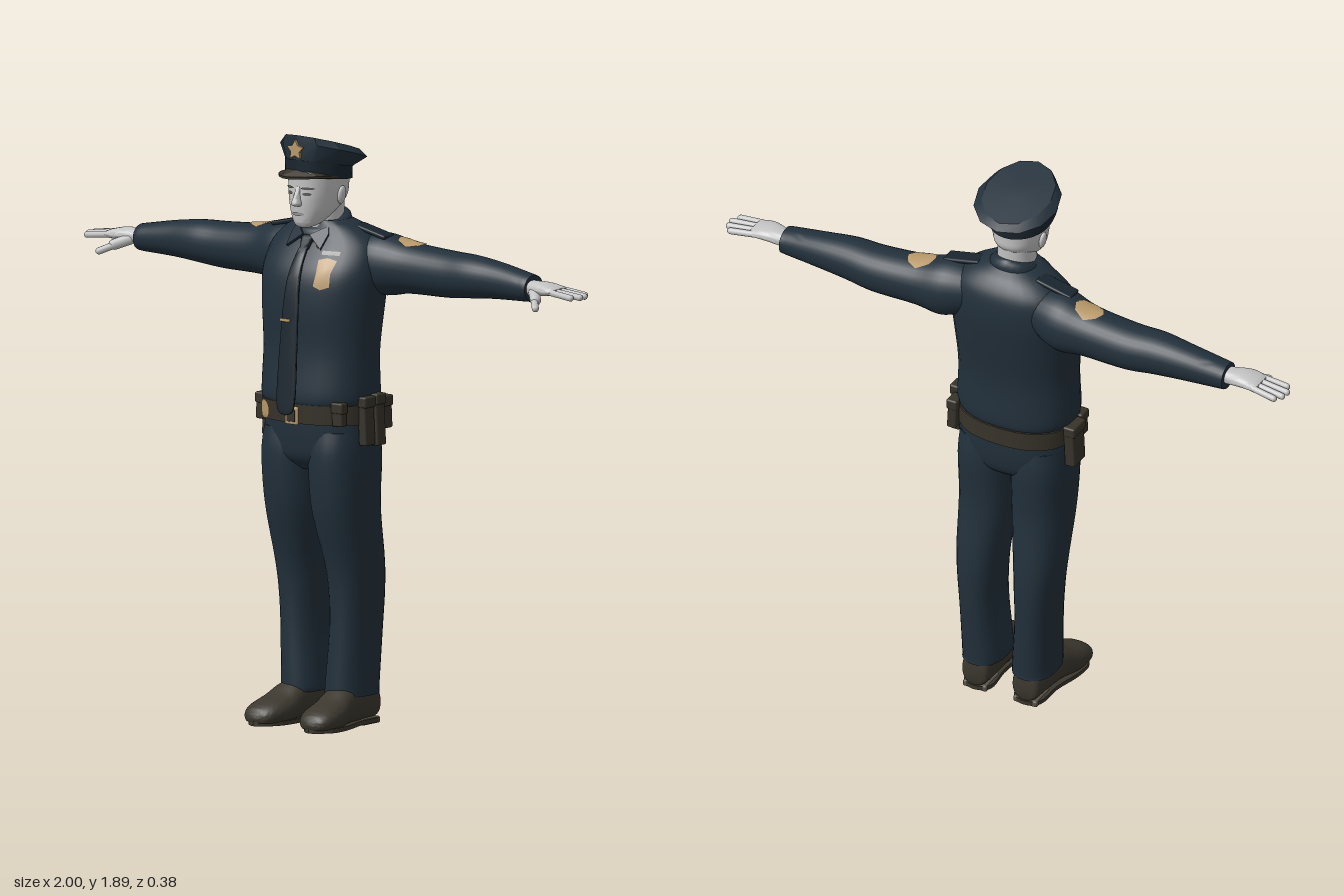
import * as THREE from 'three';
import { toCreasedNormals } from 'three/addons/utils/BufferGeometryUtils.js';
import { RoundedBoxGeometry } from 'three/addons/geometries/RoundedBoxGeometry.js';

const mat = (name, color) => Object.assign(new THREE.MeshStandardMaterial({ color }), { name });

// Catmull-Rom blend of whole key rows
function blend(keys, i, f) {
  const at = (k) => keys[Math.min(Math.max(k, 0), keys.length - 1)];
  const [p, a, b, n] = [at(i - 1), at(i), at(i + 1), at(i + 2)];
  return a.map((v, c) => {
    const k1 = b[c] - p[c], k2 = 2 * p[c] - 5 * v + 4 * b[c] - n[c], k3 = 3 * v - p[c] - 3 * b[c] + n[c];
    return v + 0.5 * f * (k1 + f * (k2 + f * k3));
  });
}

// Closed skin over cross-sections: [position, centreA, centreB, radiusA, radiusB, tilt]
// axis y: A = x, B = z; axis x: A = z, B = y; axis z: A = y, B = x
function loft(keys, { axis = 'y', seg = 28, steps = 5, power = 2.3, crease = 1 } = {}) {
  const rows = [];
  for (let i = 0; i < keys.length - 1; i++)
    for (let s = 0; s < steps; s++) rows.push(blend(keys, i, s / steps));
  rows.push(keys[keys.length - 1]);
  const pos = [], idx = [];
  const put = (t, a, b) => pos.push(...(axis === 'y' ? [a, t, b] : axis === 'x' ? [t, b, a] : [b, a, t]));
  const bend = (v) => Math.sign(v) * Math.pow(Math.abs(v), 2 / power);
  for (const [t, a, b, ra, rb, tilt = 0] of rows)
    for (let j = 0; j < seg; j++) {
      const q = (j / seg) * Math.PI * 2, u = ra * bend(Math.cos(q)), v = rb * bend(Math.sin(q));
      put(t + tilt * v, a + u, b + v);
    }
  for (let i = 0; i < rows.length - 1; i++)
    for (let j = 0; j < seg; j++) {
      const k = (j + 1) % seg, p = i * seg + j, q = i * seg + k;
      idx.push(p, p + seg, q, q, p + seg, q + seg);
    }
  const end = rows.length * seg, top = end - seg;
  for (const [t, a, b] of [rows[0], rows[rows.length - 1]]) put(t, a, b);
  for (let j = 0; j < seg; j++) {
    const k = (j + 1) % seg;
    idx.push(end, j, k, end + 1, top + k, top + j);
  }
  const g = new THREE.BufferGeometry();
  g.setAttribute('position', new THREE.Float32BufferAttribute(pos, 3));
  g.setIndex(idx);
  return toCreasedNormals(g, crease);
}

// Thin plate draped on a mesh, seen along z (or from above: outline in x and -z)
function drape(target, outline, fromTop = false, lift = 0.004) {
  const ray = new THREE.Raycaster(), n = outline.length, rings = 4, pos = [], idx = [];
  const c = outline.reduce((s, p) => [s[0] + p[0] / n, s[1] + p[1] / n], [0, 0]);
  const dir = fromTop ? new THREE.Vector3(0, -1, 0) : new THREE.Vector3(0, 0, -1);
  let depth = 0;
  const put = (u, v) => {
    const x = u + 1e-5; // keeps rays off mesh seams
    ray.set(fromTop ? new THREE.Vector3(x, 5, -v) : new THREE.Vector3(x, v, 5), dir);
    const hit = ray.intersectObject(target)[0];
    if (hit) depth = (fromTop ? hit.point.y : hit.point.z) + lift;
    pos.push(...(fromTop ? [u, depth, -v] : [u, v, depth]));
  };
  put(c[0], c[1]);
  for (let r = 1; r <= rings; r++)
    for (const p of outline) put(c[0] + (p[0] - c[0]) * r / rings, c[1] + (p[1] - c[1]) * r / rings);
  for (let j = 0; j < n; j++) {
    const k = (j + 1) % n;
    idx.push(0, 1 + j, 1 + k);
    for (let r = 0; r < rings - 1; r++) {
      const p = 1 + r * n + j, q = 1 + r * n + k;
      idx.push(p, p + n, q, q, p + n, q + n);
    }
  }
  const g = new THREE.BufferGeometry();
  g.setAttribute('position', new THREE.Float32BufferAttribute(pos, 3));
  g.setIndex(idx);
  g.computeVertexNormals();
  return g;
}

const oval = (x, y, rx, ry, n = 16) => Array.from({ length: n }, (_, i) =>
  [x + rx * Math.cos(i / n * Math.PI * 2), y + ry * Math.sin(i / n * Math.PI * 2)]);

// Copy flipped in x, with corner order swapped to keep faces outward
function mirrored(geo) {
  const g = geo.index ? geo.toNonIndexed() : geo.clone();
  g.scale(-1, 1, 1);
  for (const a of Object.values(g.attributes))
    for (let i = 0; i < a.count; i += 3)
      for (let c = 0; c < a.itemSize; c++) {
        const v = a.getComponent(i, c);
        a.setComponent(i, c, a.getComponent(i + 1, c));
        a.setComponent(i + 1, c, v);
      }
  return g;
}

export function createModel() {
  const root = new THREE.Group();
  root.name = 'uniformedOfficer';
  const navy = mat('navy cloth', 0x22303b), dark = mat('dark navy', 0x1a252e), skin = mat('pale skin', 0xc4c4c4);
  const gold = mat('gold', 0xb9996a), leather = mat('belt leather', 0x37332a), shoeMat = mat('shoe leather', 0x3b372e);
  const soleMat = mat('sole', 0x575247), eyeMat = mat('eye grey', 0x5a5a5a), lipMat = mat('lip grey', 0x9c9898);
  const add = (name, geo, m) => {
    const mesh = new THREE.Mesh(geo, m);
    mesh.name = name;
    root.add(mesh);
    return mesh;
  };
  const pair = (name, geo, m) => [add('left' + name, geo, m), add('right' + name, mirrored(geo), m)];
  const box = (w, h, d, x, y, z, rz = 0, r = 0.006) => new RoundedBoxGeometry(w, h, d, 2, r).rotateZ(rz).translate(x, y, z);

  // Shirt, sleeves and shoulder patches
  const shirt = add('shirt', loft([[1.03, 0, -0.01, 0.185, 0.138], [1.06, 0, -0.012, 0.2, 0.147], [1.2, 0, -0.015, 0.199, 0.137],
    [1.35, 0, -0.024, 0.209, 0.149], [1.45, 0, -0.037, 0.215, 0.147], [1.53, 0, -0.058, 0.2, 0.118],
    [1.58, 0, -0.055, 0.145, 0.092], [1.61, 0, -0.04, 0.08, 0.07]]), navy);
  const [leftSleeve, rightSleeve] = pair('Sleeve', loft([[0.1, -0.075, 1.49, 0.08, 0.07], [0.2, -0.09, 1.475, 0.094, 0.098],
    [0.3, -0.1, 1.47, 0.08, 0.081], [0.45, -0.105, 1.465, 0.075, 0.074], [0.55, -0.1, 1.468, 0.069, 0.068],
    [0.65, -0.1, 1.466, 0.058, 0.058], [0.77, -0.095, 1.458, 0.048, 0.045], [0.79, -0.095, 1.457, 0.046, 0.042]],
  { axis: 'x', power: 2.1 }), navy);
  pair('Epaulette', box(0.13, 0.014, 0.055, 0.165, 1.578, -0.07, -0.22), dark);
  const patch = [[0.25, 0.1], [0.262, 0.07], [0.3, 0.058], [0.335, 0.075], [0.35, 0.1], [0.335, 0.13], [0.3, 0.148], [0.262, 0.13]];
  add('leftShoulderPatch', drape(leftSleeve, patch, true), gold);
  add('rightShoulderPatch', drape(rightSleeve, patch.map(([x, z]) => [-x, z]).reverse(), true), gold);

  // Collar and its points
  add('collar', loft([[1.565, 0, -0.03, 0.09, 0.085, -0.4], [1.6, 0, -0.028, 0.08, 0.08, -0.42],
    [1.612, 0, -0.028, 0.066, 0.068, -0.42]], { steps: 2 }), navy);
  const flap = new THREE.Shape([[0.012, 0], [0.07, 0.035], [0.075, 0.005], [0.06, -0.05]].map(([x, y]) => new THREE.Vector2(x, y)));
  pair('CollarPoint', new THREE.ExtrudeGeometry(flap, { depth: 0.008, bevelEnabled: false })
    .rotateX(-0.65).rotateY(0.3).translate(0, 1.563, 0.062), navy);

  // Tie and clip
  add('tie', loft([[1.005, 0, 0.168, 0.004, 0.004], [1.04, 0, 0.166, 0.036, 0.005], [1.25, 0, 0.149, 0.034, 0.005],
    [1.4, 0, 0.133, 0.027, 0.006], [1.48, 0, 0.106, 0.02, 0.007], [1.54, 0, 0.064, 0.014, 0.008]], { power: 4, seg: 16 }), dark);
  add('tieKnot', loft([[1.52, 0, 0.073, 0.014, 0.014], [1.555, 0, 0.055, 0.022, 0.015], [1.565, 0, 0.05, 0.016, 0.01]], { seg: 14 }), dark);
  add('tieClip', box(0.04, 0.01, 0.008, -0.016, 1.303, 0.151, 0, 0.003), gold);

  // Chest badge, name plate and collar pin
  add('chestBadge', drape(shirt, [[0.07, 1.415], [0.095, 1.405], [0.123, 1.415], [0.12, 1.455], [0.127, 1.495], [0.095, 1.502],
    [0.066, 1.495], [0.073, 1.455]]), gold);
  add('namePlate', drape(shirt, [[0.068, 1.51], [0.128, 1.51], [0.128, 1.522], [0.068, 1.522]]), lipMat);
  add('collarPin', new THREE.SphereGeometry(0.009, 10, 8).translate(0.05, 1.535, 0.06), gold);

  // Trousers
  add('trouserSeat', loft([[0.82, 0, -0.015, 0.13, 0.08], [0.86, 0, -0.016, 0.185, 0.122], [0.93, 0, -0.017, 0.193, 0.136],
    [1.01, 0, -0.015, 0.19, 0.138]]), navy);
  pair('TrouserLeg', loft([[0.1, 0.089, -0.057, 0.07, 0.098], [0.13, 0.089, -0.057, 0.07, 0.098], [0.3, 0.098, -0.064, 0.065, 0.1],
    [0.42, 0.101, -0.065, 0.07, 0.103], [0.52, 0.101, -0.055, 0.078, 0.107], [0.7, 0.094, -0.02, 0.093, 0.12],
    [0.86, 0.094, -0.015, 0.097, 0.131], [0.95, 0.09, -0.015, 0.095, 0.12]]), navy);

  // Shoes, soles and heels
  const shoe = loft([[-0.15, 0.06, 0.09, 0.035, 0.03], [-0.135, 0.07, 0.09, 0.055, 0.047], [-0.05, 0.075, 0.092, 0.065, 0.053],
    [0.02, 0.07, 0.097, 0.062, 0.06], [0.08, 0.05, 0.104, 0.05, 0.068], [0.14, 0.04, 0.109, 0.038, 0.065],
    [0.175, 0.033, 0.112, 0.025, 0.046], [0.188, 0.028, 0.112, 0.008, 0.015]], { axis: 'z' });
  const sp = shoe.attributes.position;
  for (let i = 0; i < sp.count; i++) sp.setY(i, Math.max(sp.getY(i), 0.016));
  pair('Shoe', shoe, shoeMat);
  const solePoints = [[0.09, -0.153], [0.135, -0.13], [0.145, -0.03], [0.17, 0.07], [0.168, 0.14], [0.112, 0.19],
    [0.055, 0.14], [0.04, 0.07], [0.045, -0.03], [0.043, -0.13]].map(([x, z]) => new THREE.Vector3(x, -z, 0));
  const soleCurve = new THREE.CatmullRomCurve3(solePoints, true);
  const sole = new THREE.Shape(soleCurve.getPoints(40).slice(0, -1).map((p) => new THREE.Vector2(p.x, p.y)));
  pair('Sole', new THREE.ExtrudeGeometry(sole, { depth: 0.014, bevelEnabled: false }).rotateX(-Math.PI / 2).translate(0, 0.006, 0), shoeMat);
  pair('Heel', box(0.085, 0.022, 0.09, 0.09, 0.011, -0.1), soleMat);

  // Belt, buckle and pouches
  const belt = add('belt', loft([[0.975, 0, -0.015, 0.197, 0.146], [1.037, 0, -0.013, 0.197, 0.147]], { steps: 1, seg: 40 }), leather);
  add('buckle', box(0.052, 0.058, 0.012, 0, 1.0, 0.135), gold);
  add('buckleCentre', box(0.034, 0.038, 0.006, 0, 1.0, 0.14, 0, 0.002), leather);
  add('beltDisc', drape(belt, oval(-0.128, 1.005, 0.03, 0.031), false, 0.008), gold);
  const pouches = [[0.03, 0.15, 0.05, 0.2, 0.985, 0.01], [0.034, 0.16, 0.045, 0.203, 0.985, -0.04],
    [0.032, 0.1, 0.05, 0.185, 1.0, -0.095], [0.04, 0.07, 0.03, 0.155, 1.01, 0.09],
    [0.036, 0.14, 0.075, -0.205, 0.97, -0.03], [0.03, 0.08, 0.045, -0.19, 1.0, 0.04]];
  for (const [w, h, d, x, y, z] of pouches) {
    add('pouch', box(w, h, d, x, y, z, Math.sign(x) * 0.05), leather);
    add('pouchFlap', box(w + 0.006, 0.035, d + 0.004, x, y + h / 2 - 0.012, z), leather);
  }

  // Hands
  pair('Palm', loft([[0.77, -0.092, 1.457, 0.03, 0.026], [0.8, -0.09, 1.459, 0.034, 0.024], [0.85, -0.085, 1.462, 0.045, 0.021],
    [0.89, -0.086, 1.46, 0.046, 0.015], [0.905, -0.087, 1.459, 0.043, 0.01]], { axis: 'x' }), skin);
  const finger = (from, to, r) => {
    const a = new THREE.Vector3(...from), d = new THREE.Vector3(...to).sub(a);
    const turn = new THREE.Quaternion().setFromUnitVectors(new THREE.Vector3(0, 1, 0), d.clone().normalize());
    const mid = a.addScaledVector(d, 0.5);
    return new THREE.CapsuleGeometry(r, d.length(), 4, 10).applyQuaternion(turn).translate(mid.x, mid.y, mid.z);
  };
  [[0.97, -0.128], [0.987, -0.105], [0.99, -0.078], [0.975, -0.05]].forEach(([x, z], i) => {
    pair('Finger', finger([0.885, 1.46, -0.121 + i * 0.023], [x, 1.45, z], 0.0105), skin);
  });
  pair('ThumbBase', finger([0.815, 1.45, -0.066], [0.85, 1.434, -0.03], 0.018), skin);
  pair('Thumb', finger([0.845, 1.434, -0.03], [0.88, 1.415, 0.008], 0.0115), skin);

  // Head and face
  add('neck', loft([[1.55, 0, -0.03, 0.062, 0.064], [1.62, 0, -0.028, 0.058, 0.064], [1.69, 0, -0.03, 0.058, 0.064]]), skin);
  const head = add('head', loft([[1.592, 0, 0.068, 0.02, 0.02], [1.605, 0, 0.053, 0.04, 0.046], [1.64, 0, 0.025, 0.062, 0.079],
    [1.68, 0, 0.004, 0.075, 0.103], [1.72, 0, 0, 0.082, 0.105], [1.78, 0, 0, 0.085, 0.105]]), skin);
  add('nose', loft([[1.662, 0, 0.105, 0.01, 0.012], [1.67, 0, 0.106, 0.016, 0.025], [1.69, 0, 0.103, 0.011, 0.021],
    [1.725, 0, 0.097, 0.008, 0.01]], { seg: 14 }), skin);
  pair('Ear', new THREE.SphereGeometry(1, 12, 10).scale(0.01, 0.03, 0.018).rotateZ(-0.15).translate(0.083, 1.692, -0.012), skin);
  pair('Eye', drape(head, oval(0.033, 1.702, 0.014, 0.005), false, 0.003), eyeMat);
  pair('Brow', drape(head, oval(0.035, 1.72, 0.021, 0.004)), eyeMat);
  add('lips', drape(head, oval(0, 1.637, 0.024, 0.006)), lipMat);

  // Peaked cap
  add('capBand', loft([[1.745, 0, 0, 0.101, 0.113, 0.1], [1.793, 0, 0, 0.102, 0.114, 0.15]], { steps: 1, power: 2 }), dark);
  add('capCrown', loft([[1.785, 0, 0, 0.1, 0.112, 0.15], [1.826, 0, -0.025, 0.139, 0.138, 0.28], [1.85, 0, -0.018, 0.113, 0.13, 0.3],
    [1.856, 0, -0.018, 0.03, 0.03, 0.3]], { steps: 1, seg: 12, power: 2, crease: 0.5 }), navy);
  const peak = new THREE.Shape();
  peak.absellipse(0, 0, 0.1, 0.158, 0.15, Math.PI - 0.15, false);
  peak.absellipse(0, 0, 0.097, 0.108, Math.PI - 0.15, 0.15, true);
  const visor = new THREE.ExtrudeGeometry(peak, { depth: 0.007, bevelEnabled: false, curveSegments: 20 }).rotateX(Math.PI / 2);
  const vp = visor.attributes.position;
  for (let i = 0; i < vp.count; i++) {
    const x = vp.getX(i), z = vp.getZ(i), out = Math.max(0, Math.hypot(x / 0.1, z / 0.11) - 1) * 0.1;
    vp.setY(i, vp.getY(i) + 1.75 + 0.28 * z - 0.75 * out);
  }
  visor.computeVertexNormals();
  add('visor', visor, leather);
  const star = new THREE.Shape(Array.from({ length: 10 }, (_, i) => {
    const r = i % 2 ? 0.018 : 0.033, q = Math.PI / 2 + i * Math.PI / 5;
    return new THREE.Vector2(r * Math.cos(q), r * Math.sin(q));
  }));
  add('capBadge', new THREE.ExtrudeGeometry(star, { depth: 0.008, bevelEnabled: false }).translate(0, 1.842, 0.112), gold);
  return root;
}
